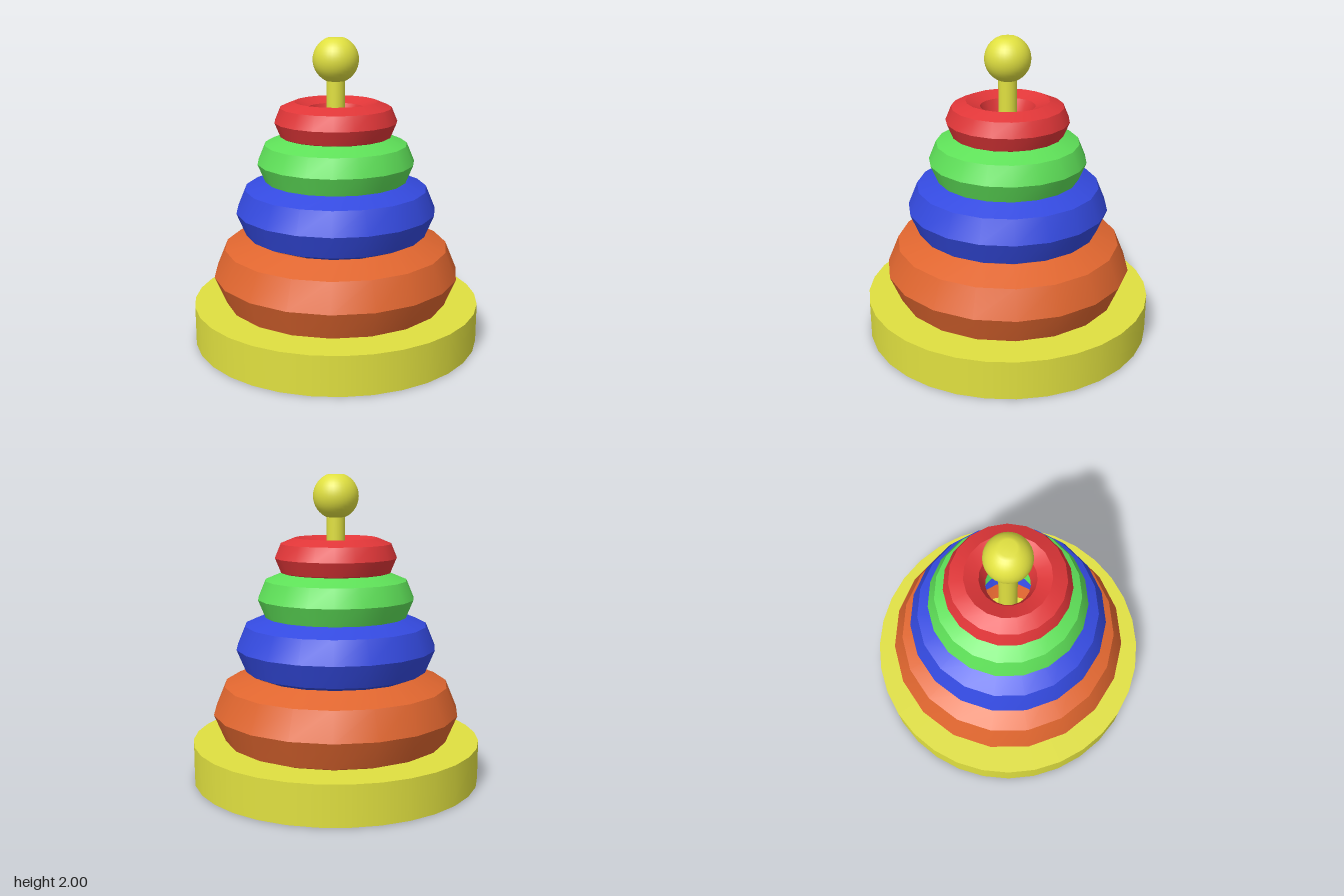
import * as THREE from 'three';
import { toCreasedNormals } from 'three/addons/utils/BufferGeometryUtils.js';

const material = (color) => new THREE.MeshStandardMaterial({ color });

export function createModel() {
  const model = new THREE.Group();
  model.name = 'stackingRings';
  const yellow = material(0xe0e040);

  const add = (name, geometry, mat, y) => {
    const mesh = new THREE.Mesh(geometry, mat);
    mesh.name = name;
    mesh.position.y = y;
    model.add(mesh);
  };

  // Round base and the post standing on it
  add('base', new THREE.CylinderGeometry(0.95, 0.95, 0.26, 32), yellow, 0.13);
  add('post', new THREE.CylinderGeometry(0.06, 0.06, 1.5, 32), yellow, 0.99);

  // Ball on the post, cut flat at top and bottom
  const radius = 0.148, steps = 16, half = 0.138;
  const limit = Math.asin(half / radius);
  const profile = [new THREE.Vector2(0, -half)];
  for (let i = 0; i <= steps; i++) {
    const a = -limit + (2 * limit * i) / steps;
    profile.push(new THREE.Vector2(radius * Math.cos(a), radius * Math.sin(a)));
  }
  profile.push(new THREE.Vector2(0, half));
  add('ball', new THREE.LatheGeometry(profile, 32), yellow, 2 - half);

  // Rings with an octagonal section, each resting a little inside the one below
  const rings = [
    ['largeRing', 0xe0662f, 0.56, 0.255, 0.455],
    ['mediumRing', 0x344ae0, 0.45, 0.21, 0.88],
    ['smallRing', 0x5ee058, 0.345, 0.17, 1.2],
    ['topRing', 0xe03638, 0.27, 0.13, 1.465],
  ];
  for (const [name, color, ringRadius, tubeRadius, y] of rings) {
    const ring = new THREE.TorusGeometry(ringRadius, tubeRadius, 8, 19).rotateX(-Math.PI / 2);
    add(name, toCreasedNormals(ring, 0.5), material(color), y);
  }

  return model;
}
